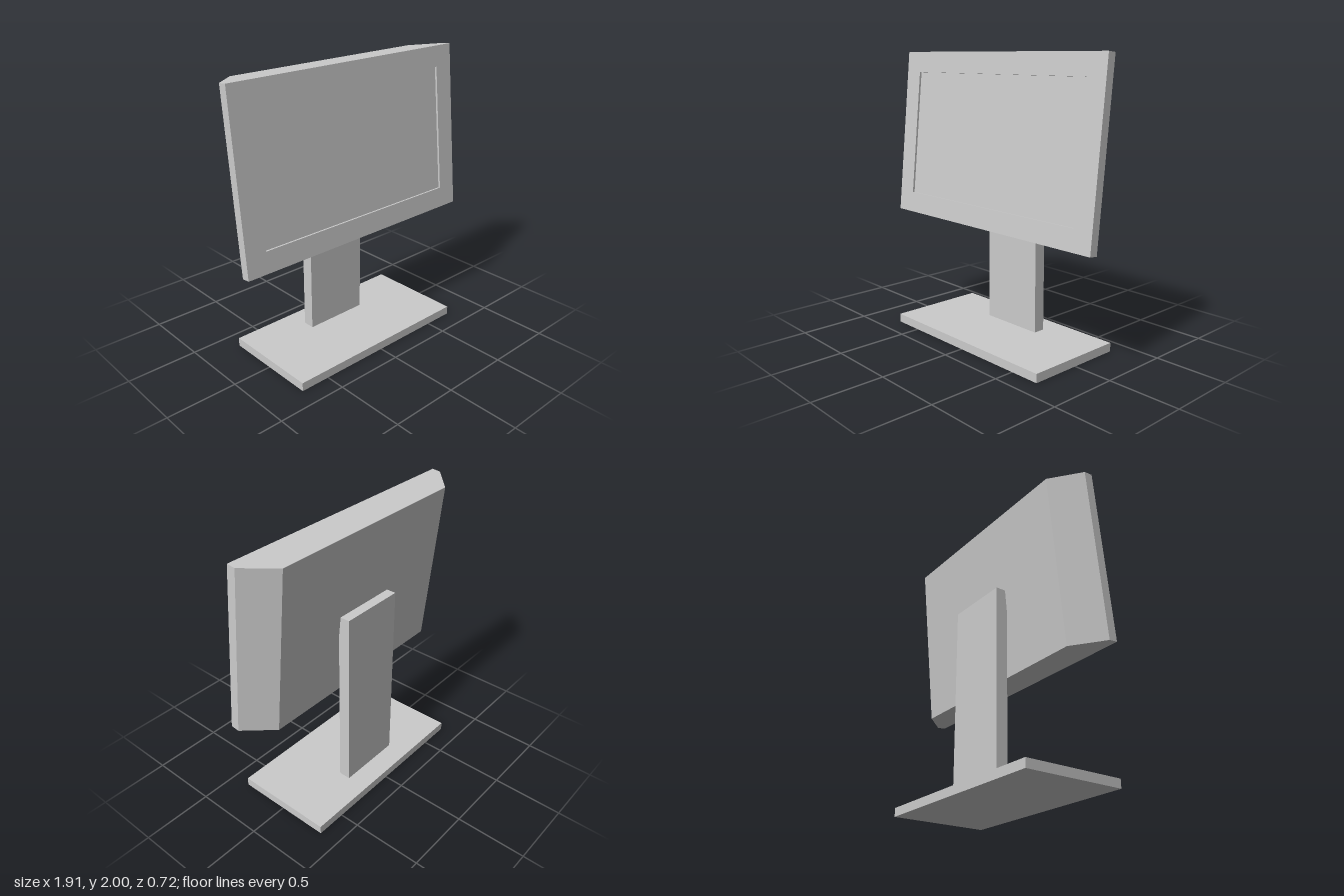
import * as THREE from 'three';

const material = new THREE.MeshStandardMaterial({ color: 0xcccccc, flatShading: true });

function addMesh(parent, name, geometry) {
  const mesh = new THREE.Mesh(geometry, material);
  mesh.name = name;
  parent.add(mesh);
  return mesh;
}

function addBox(parent, name, w, h, d, x, y, z) {
  addMesh(parent, name, new THREE.BoxGeometry(w, h, d)).position.set(x, y, z);
}

export function createModel() {
  const group = new THREE.Group();
  group.name = 'monitor';

  // Stand: flat foot and upright slab
  addBox(group, 'base', 1.434, 0.061, 0.717, 0, 0.0305, 0);
  addBox(group, 'neck', 0.475, 1.34, 0.085, 0, 0.731, -0.1585);

  // Tilted display; local origin is the bottom edge of its front face
  const display = new THREE.Group();
  display.name = 'display';
  display.position.set(0, 0.811, 0.164);
  display.rotation.x = -0.1;
  group.add(display);

  const halfW = 0.955, height = 1.195, depth = 0.235;
  const recess = 0.015, rim = 0.061, backHalfW = 0.768, border = 0.148;

  // Housing: plan outline with bevelled rear corners, extruded upward
  const plan = new THREE.Shape([
    [-halfW, recess], [halfW, recess], [halfW, rim],
    [backHalfW, depth], [-backHalfW, depth], [-halfW, rim],
  ].map(([x, y]) => new THREE.Vector2(x, y)));
  const housing = new THREE.ExtrudeGeometry(plan, { depth: height, bevelEnabled: false });
  housing.rotateX(-Math.PI / 2);
  addMesh(display, 'housing', housing);

  // Bezel: thin frame around the recessed screen
  const rectangle = (Type, inset) => new Type([
    new THREE.Vector2(-halfW + inset, inset),
    new THREE.Vector2(halfW - inset, inset),
    new THREE.Vector2(halfW - inset, height - inset),
    new THREE.Vector2(-halfW + inset, height - inset),
  ]);
  const frame = rectangle(THREE.Shape, 0);
  frame.holes.push(rectangle(THREE.Path, border));
  const bezel = new THREE.ExtrudeGeometry(frame, { depth: recess, bevelEnabled: false });
  bezel.translate(0, 0, -recess);
  addMesh(display, 'bezel', bezel);

  return group;
}
